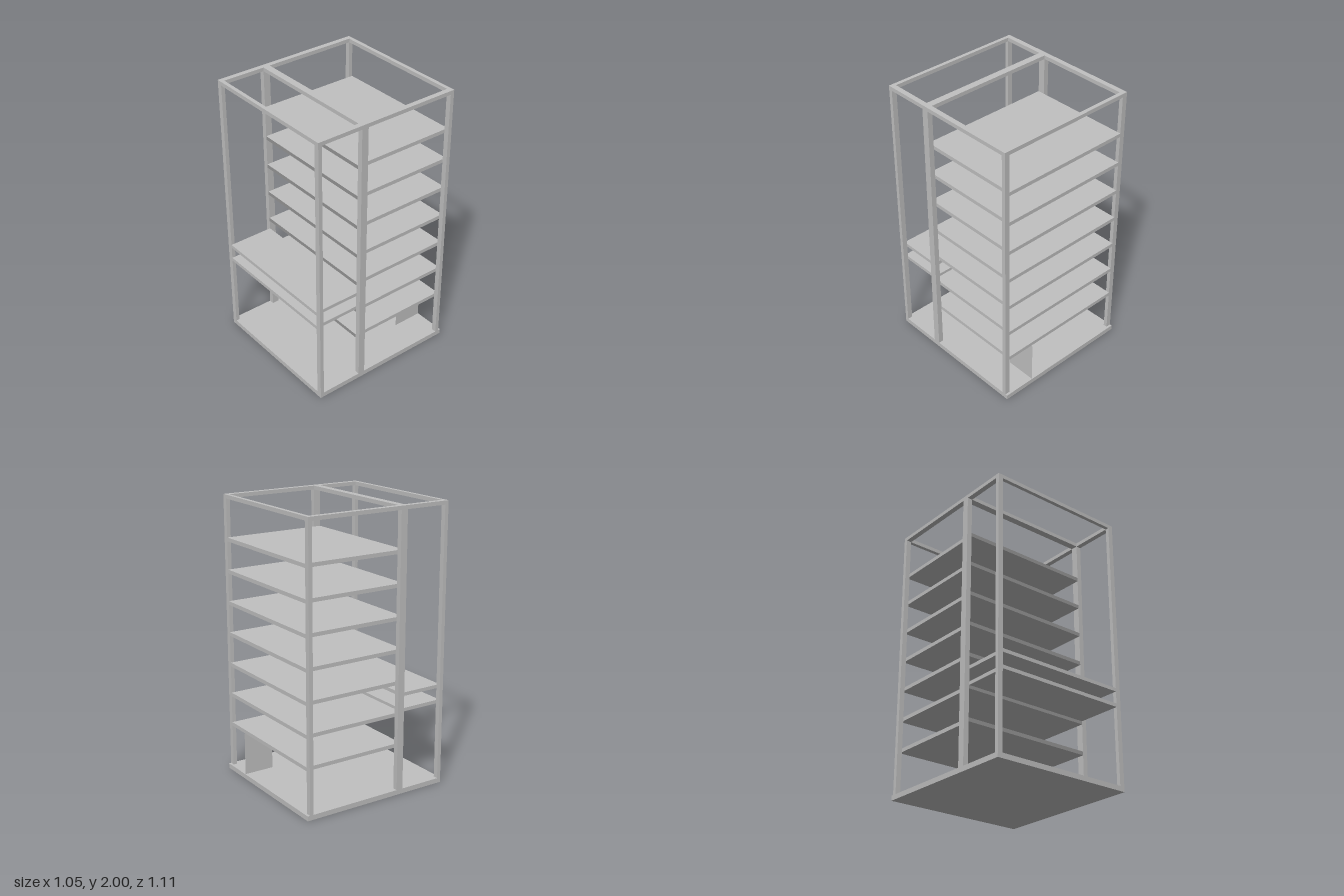
import * as THREE from 'three';

export function createModel() {
  const model = new THREE.Group();
  model.name = 'storeyFrame';

  const lightGrey = new THREE.MeshStandardMaterial({ color: 0xc0c0c0 });
  lightGrey.name = 'light grey';
  const midGrey = new THREE.MeshStandardMaterial({ color: 0x969696 });
  midGrey.name = 'mid grey';
  const panelGrey = new THREE.MeshStandardMaterial({ color: 0xc0c0c0, side: THREE.DoubleSide });
  panelGrey.name = 'panel grey';

  // Box between two limits on each axis
  function block(name, [x0, x1], [y0, y1], [z0, z1], material = lightGrey) {
    const mesh = new THREE.Mesh(new THREE.BoxGeometry(x1 - x0, y1 - y0, z1 - z0), material);
    mesh.position.set((x0 + x1) / 2, (y0 + y1) / 2, (z0 + z1) / 2);
    mesh.name = name;
    model.add(mesh);
    return mesh;
  }

  const outer = 0.527, inner = 0.49;
  const baseTop = 0.035, beamBottom = 1.973, top = 2;
  const rows = { front: [0.528, 0.555], middle: [0.17, 0.22], rear: [-0.538, -0.51] };
  const span = [-inner, inner];

  // Ground slab
  block('baseSlab', [-outer, outer], [0, baseTop], [-0.555, 0.555]);

  // Posts and top cross beams, one row at a time
  for (const [row, depth] of Object.entries(rows)) {
    block(row + 'PostRight', [-outer, -inner], [baseTop, beamBottom], depth);
    block(row + 'PostLeft', [inner, outer], [baseTop, beamBottom], depth);
    block(row + 'TopBeam', span, [beamBottom, top], depth);
  }

  // Top side beams
  const length = [rows.rear[0], rows.front[1]];
  block('sideBeamRight', [-outer, -inner], [beamBottom, top], length);
  block('sideBeamLeft', [inner, outer], [beamBottom, top], length);

  // Seven floors with a darker front edge
  const floorFaces = [lightGrey, lightGrey, lightGrey, lightGrey, midGrey, lightGrey];
  for (let i = 0; i < 7; i++) {
    const y = 0.363 + i * 0.224;
    block('floor' + (i + 1), span, [y - 0.027, y], [rows.rear[0], rows.middle[1]], floorFaces);
  }

  // Two front platforms
  [0.608, 0.72].forEach((y, i) => {
    block('frontPlatform' + (i + 1), span, [y - 0.025, y], [rows.middle[1], rows.front[1]]);
  });

  // Thin upright panel at the back of the ground floor
  const panel = new THREE.Mesh(new THREE.PlaneGeometry(0.222, 0.305), panelGrey);
  panel.rotation.y = Math.PI / 2;
  panel.position.set(0.29, baseTop + 0.1525, -0.442);
  panel.name = 'rearPanel';
  model.add(panel);

  return model;
}
